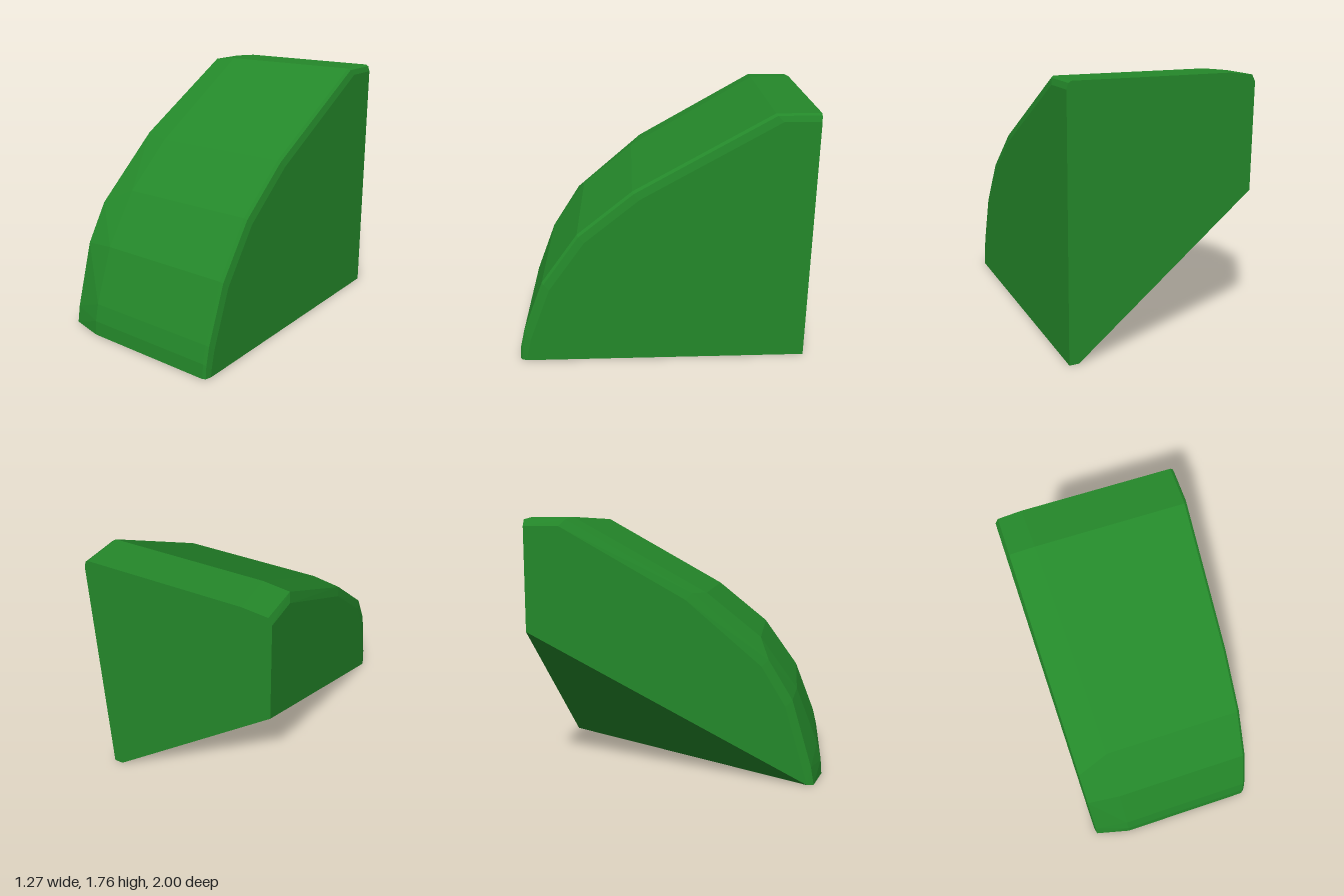
import * as THREE from 'three';
import { ConvexGeometry } from 'three/addons/geometries/ConvexGeometry.js';

// Side profiles as [z, y], running from the back of the top down to the front foot
const FULL = [[-1, 1.76], [-0.71, 1.76], [0.2, 1.25], [0.57, 0.95], [0.82, 0.6], [0.965, 0.22], [0.993, 0.1], [1, 0]];
const LEFT_RIM = [[-1, 1.742], [-0.715, 1.742], [0.13, 1.265], [0.63, 0.835], [0.79, 0.57], [0.92, 0.12], [0.94, 0]];

// Pull a profile inwards towards the lower back corner
const inset = (profile, d) => profile.map(([z, y]) => [
  z === -1 ? -1 : z - d * 0.75,
  y === 0 ? 0 : Math.max(y - d * 0.75, 0.05),
]);

export function createModel() {
  const group = new THREE.Group();
  const points = [];
  const ring = (profile, xAt) => profile.forEach(([z, y]) => points.push(new THREE.Vector3(xAt(z, y), y, z)));

  // +x edge: curved front, small two-step bevel, flat side
  ring(FULL, () => 0.605);
  ring(inset(FULL, 0.015), () => 0.623);
  ring(inset(FULL, 0.065), () => 0.635);

  // -x edge: wide shallow bevel that grows towards the foot, then a leaning side
  ring(FULL, (z) => -0.45 + 0.045 * (z + 1));
  ring(LEFT_RIM, (z) => -0.615 + 0.004 * (z + 1));
  ring(inset(LEFT_RIM, 0.06), (z) => -0.639 + 0.011 * (z + 1));

  // Lower back: the -x corner is cut off by a sloping plane
  points.push(
    new THREE.Vector3(0.635, 0, -1),
    new THREE.Vector3(0.57, 0, -1),
    new THREE.Vector3(-0.639, 0.99, -1),
  );

  const body = new THREE.Mesh(
    new ConvexGeometry(points),
    new THREE.MeshStandardMaterial({ color: 0x24882a, flatShading: true }),
  );
  body.name = 'curvedWedgeBody';
  group.add(body);
  return group;
}
